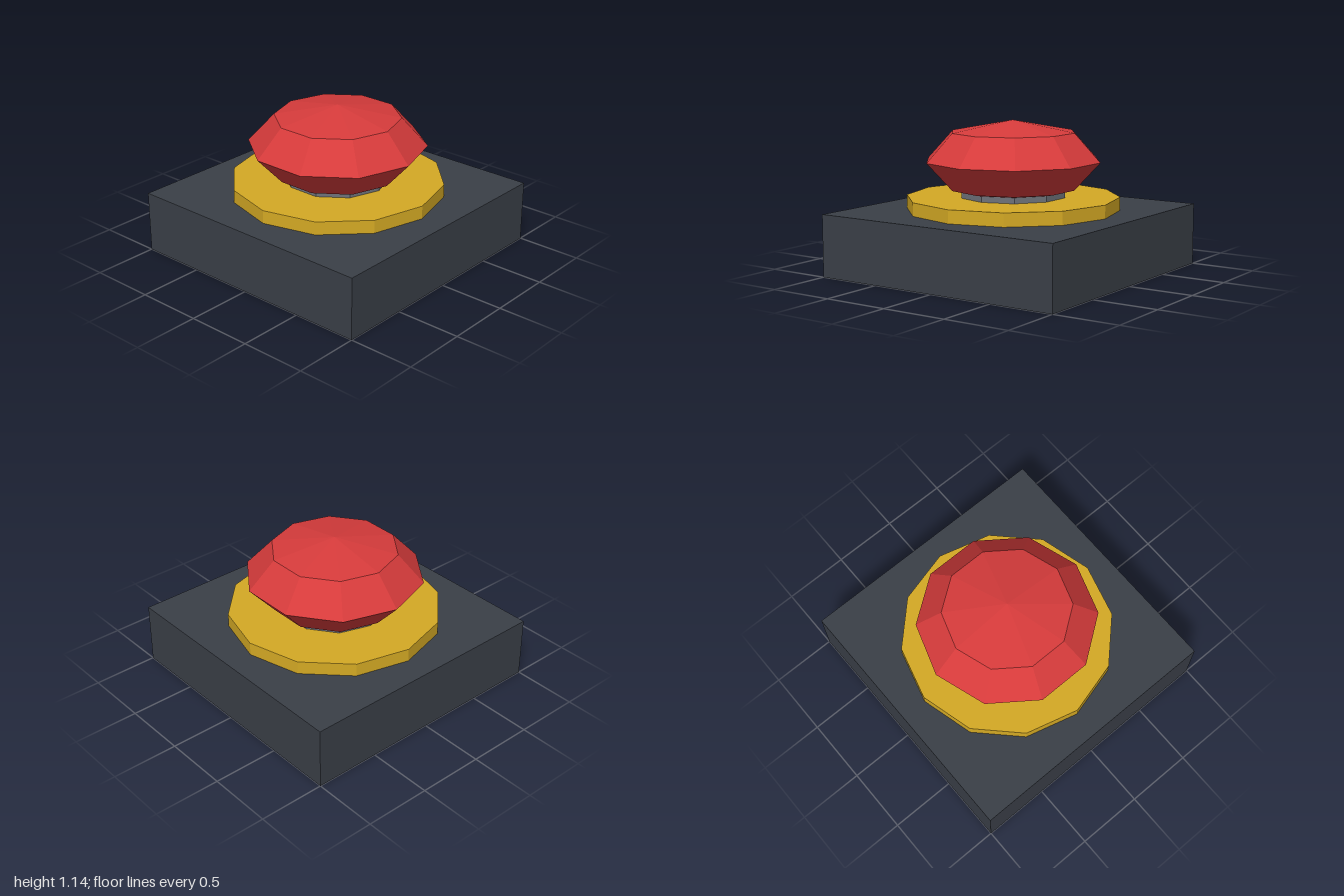
import * as THREE from 'three';

function material(name, color) {
  const m = new THREE.MeshStandardMaterial({ color });
  m.name = name;
  return m;
}

// Faceted geometry with one normal per face
function faceted(geometry) {
  const g = geometry.toNonIndexed();
  g.computeVertexNormals();
  return g;
}

export function createModel() {
  const model = new THREE.Group();
  model.name = 'pushButton';

  const add = (name, geometry, mat, y) => {
    const mesh = new THREE.Mesh(faceted(geometry), mat);
    mesh.name = name;
    mesh.position.y = y;
    model.add(mesh);
  };

  // Square housing
  add('base', new THREE.BoxGeometry(2, 0.467, 2), material('darkSlate', 0x3a3f47), 0.2335);

  // Twelve-sided collar
  add('collar', new THREE.CylinderGeometry(0.8, 0.8, 0.1, 12), material('gold', 0xd4a924), 0.517);

  // Ten-sided stem under the cap
  add('stem', new THREE.CylinderGeometry(0.4, 0.4, 0.2, 10), material('steelGrey', 0x6e7279), 0.667);

  // Flattened low-poly cap, a corner facing front and back
  const cap = new THREE.SphereGeometry(0.667, 10, 4);
  cap.rotateY(Math.PI / 2);
  cap.scale(1, 0.45, 1);
  add('cap', cap, material('red', 0xd63b3b), 0.837);

  return model;
}
